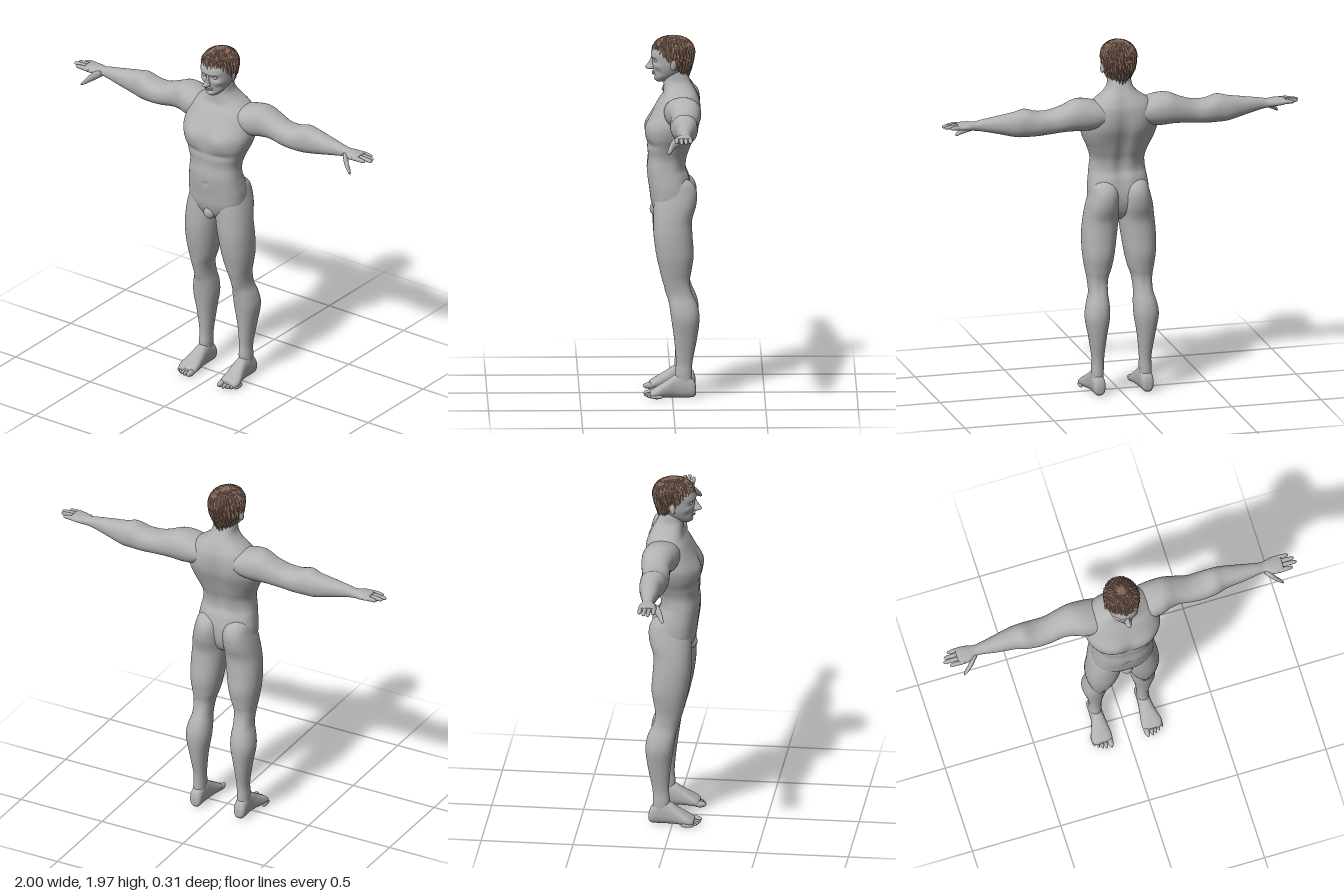
import * as THREE from 'three';

const skin = new THREE.MeshStandardMaterial({ color: 0xb2b2b2 });
skin.name = 'skin grey';
const brown = new THREE.MeshStandardMaterial({ color: 0x86695a, flatShading: true, side: THREE.DoubleSide });
brown.name = 'hair brown';

// Ways to lay (a, t, b) on the axes, where t runs along the part
const AXES = {
  y: (a, t, b) => [a, t, b],
  x: (a, t, b) => [t, b, a],
  z: (a, t, b) => [b, a, t],
};

// Smooth curve through the rows, component by component
function sampleRows(rows, steps) {
  const out = [];
  for (let i = 0; i < rows.length - 1; i++) {
    const p = [rows[Math.max(0, i - 1)], rows[i], rows[i + 1], rows[Math.min(rows.length - 1, i + 2)]];
    for (let s = 0; s < steps; s++) {
      const u = s / steps;
      out.push(p[1].map((v, k) => v + 0.5 * u * (p[2][k] - p[0][k]
        + u * (2 * p[0][k] - 5 * v + 4 * p[2][k] - p[3][k] + u * (3 * (v - p[2][k]) + p[3][k] - p[0][k])))));
    }
  }
  out.push(rows[rows.length - 1]);
  return out;
}

// Skin over superellipse sections: row = [t, aMin, aMax, bMin, bMax]
// bumps = [x, y, z, rx, ry, rz, dx, dy, dz], soft pushes that model the muscles
function loft(rows, axis, { sides = 32, steps = 5, power = 2.2, bumps = [] } = {}) {
  const rings = sampleRows(rows, steps), pos = [], index = [];
  const put = (a, t, b) => {
    const p = AXES[axis](a, t, b), q = p.slice();
    for (const m of bumps) {
      const d = [0, 1, 2].reduce((s, k) => s + ((p[k] - m[k]) / m[k + 3]) ** 2, 0);
      for (let k = 0; k < 3; k++) q[k] += m[k + 6] * Math.exp(-d);
    }
    pos.push(...q);
  };
  const bend = v => Math.sign(v) * Math.abs(v) ** (2 / power);
  for (const [t, a0, a1, b0, b1] of rings) {
    for (let j = 0; j < sides; j++) {
      const w = (j / sides) * Math.PI * 2;
      put((a0 + a1) / 2 + bend(Math.cos(w)) * (a1 - a0) / 2, t, (b0 + b1) / 2 + bend(Math.sin(w)) * (b1 - b0) / 2);
    }
  }
  const last = (rings.length - 1) * sides, cap = rings.length * sides;
  for (const r of [rings[0], rings[rings.length - 1]]) put((r[1] + r[2]) / 2, r[0], (r[3] + r[4]) / 2);
  for (let j = 0; j < sides; j++) {
    const k = (j + 1) % sides;
    for (let i = 0; i < last; i += sides) {
      index.push(i + j, i + sides + j, i + k, i + k, i + sides + j, i + sides + k);
    }
    index.push(cap, j, k, cap + 1, last + k, last + j);
  }
  const g = new THREE.BufferGeometry();
  g.setAttribute('position', new THREE.Float32BufferAttribute(pos, 3));
  g.setIndex(index);
  g.computeVertexNormals();
  return g;
}

function mirrored(geo) {
  const g = geo.clone().scale(-1, 1, 1), ix = g.index.array;
  for (let i = 0; i < ix.length; i += 3) [ix[i], ix[i + 1]] = [ix[i + 1], ix[i]];
  g.computeVertexNormals();
  return g;
}

const ball = (x, y, z, rx, ry, rz) => new THREE.SphereGeometry(1, 20, 14).scale(rx, ry, rz).translate(x, y, z);
const twin = list => list.flatMap(b => [b, [-b[0], ...b.slice(1, 6), -b[6], b[7], b[8]]]);
const even = rows => rows.map(([y, w, z0, z1]) => [y, -w, w, z0, z1]);

// One layer of hair, its lower edge ragged and its surface ridged into locks
function hairLayer(lift, grow, seed) {
  const cols = 112, steps = 14, pos = [], index = [];
  const top = 1.966 + grow;
  for (let i = 0; i <= steps; i++) {
    for (let j = 0; j < cols; j++) {
      const w = (j / cols) * Math.PI * 2, c = Math.cos(w);
      const jag = 0.5 + 0.5 * Math.sin(j * 2.4 + seed) * Math.sin(j * 0.71 + seed * 2);
      const line = c > 0 ? 1.82 + 0.075 * Math.min(1, c * 1.7) : 1.82 - 0.07 * Math.min(1, -c * 1.15);
      const edge = line + lift * (top - line) - 0.022 * jag;
      const y = edge + (top - edge) * Math.cos((i / steps) * Math.PI / 2);
      const h = (y - 1.875) / (top - 1.875);
      const f = h > 0 ? Math.sqrt(Math.max(0, 1 - h ** 2.3)) : 1 - 0.2 * h * h;
      const ridge = 0.0035 * Math.sin(j * 1.9 + seed + 1.2 * Math.sin(i * 0.7 + j * 0.3)) * Math.min(1, i / 4);
      pos.push(Math.sin(w) * ((0.095 + grow) * f + ridge), y, -0.006 + c * ((0.114 + grow) * f + ridge));
    }
  }
  for (let i = 0; i < steps; i++) {
    for (let j = 0; j < cols; j++) {
      const a = i * cols + j, b = i * cols + (j + 1) % cols;
      index.push(a, a + cols, b, b, a + cols, b + cols);
    }
  }
  const g = new THREE.BufferGeometry();
  g.setAttribute('position', new THREE.Float32BufferAttribute(pos, 3));
  g.setIndex(index);
  g.computeVertexNormals();
  return g;
}

export function createModel() {
  const model = new THREE.Group();
  model.name = 'standingMan';
  const add = (name, geo, mat = skin) => {
    const m = new THREE.Mesh(geo, mat);
    m.name = name;
    model.add(m);
  };
  const pair = (name, geo) => {
    add('left' + name, geo);
    add('right' + name, mirrored(geo));
  };

  // Torso and neck
  add('torso', loft(even([
    [0.965, 0.03, -0.03, 0.05], [1.0, 0.1, -0.075, 0.09], [1.06, 0.16, -0.1, 0.113], [1.13, 0.168, -0.105, 0.122],
    [1.2, 0.16, -0.09, 0.13], [1.25, 0.153, -0.07, 0.132], [1.31, 0.15, -0.075, 0.128], [1.37, 0.168, -0.1, 0.134],
    [1.43, 0.195, -0.123, 0.138], [1.49, 0.21, -0.143, 0.132], [1.55, 0.203, -0.152, 0.107], [1.61, 0.185, -0.152, 0.075],
    [1.65, 0.15, -0.14, 0.05], [1.685, 0.1, -0.123, 0.045], [1.72, 0.07, -0.103, 0.045], [1.76, 0.062, -0.086, 0.045],
    [1.8, 0.058, -0.075, 0.04],
  ]), 'y', { sides: 64, steps: 7, power: 2.45, bumps: [
    ...twin([
      [0.09, 1.47, 0.14, 0.075, 0.06, 0.08, 0, 0, 0.016],     // chest
      [0.1, 1.385, 0.13, 0.08, 0.018, 0.08, 0, 0, -0.008],    // fold under the chest
      [0.1, 1.53, -0.15, 0.055, 0.09, 0.06, 0, 0, -0.008],    // shoulder blade
      [0.055, 1.28, -0.08, 0.035, 0.09, 0.06, 0, 0, -0.008],  // lower back
      [0.045, 1.25, 0.13, 0.035, 0.1, 0.05, 0, 0, 0.005],     // belly
    ]),
    [0, 1.46, 0.14, 0.016, 0.07, 0.08, 0, 0, -0.012],
    [0, 1.4, -0.13, 0.025, 0.25, 0.08, 0, 0, 0.016],
    [0, 1.2, 0.13, 0.01, 0.012, 0.05, 0, 0, -0.008],
  ] }));
  add('groin', ball(0, 1.015, 0.085, 0.035, 0.04, 0.035));

  // Arms with palms
  pair('Arm', loft([
    [0.08, -0.14, 0.03, 1.53, 1.63], [0.15, -0.152, 0.045, 1.5, 1.655], [0.22, -0.155, 0.04, 1.493, 1.67],
    [0.27, -0.153, 0.022, 1.498, 1.668], [0.33, -0.146, 0.01, 1.498, 1.643], [0.4, -0.135, 0.015, 1.49, 1.62],
    [0.47, -0.135, 0.017, 1.485, 1.618], [0.54, -0.131, 0.01, 1.484, 1.637], [0.6, -0.127, -0.007, 1.49, 1.626],
    [0.7, -0.107, -0.015, 1.514, 1.609], [0.78, -0.09, -0.026, 1.532, 1.596], [0.82, -0.088, -0.025, 1.539, 1.588],
    [0.86, -0.097, -0.004, 1.543, 1.588], [0.9, -0.1, 0.0, 1.548, 1.586], [0.92, -0.096, -0.005, 1.554, 1.582],
  ], 'x', { sides: 36 }));

  // Fingers and thumbs
  [[-0.011, 0.97], [-0.037, 1.0], [-0.061, 0.99], [-0.086, 0.965]].forEach(([z, tip], i) => {
    const row = (x, r, y) => [x, z - r, z + r, y - r, y + r];
    pair('Finger' + (i + 1), loft([
      row(0.885, 0.012, 1.567), row(0.925, 0.012, 1.569), row(tip - 0.02, 0.0105, 1.568),
      row(tip - 0.006, 0.008, 1.567), row(tip, 0.002, 1.567),
    ], 'x', { sides: 12, steps: 3 }));
  });
  pair('Thumb', loft([
    [0.815, -0.055, -0.02, 1.54, 1.575], [0.845, -0.03, 0.012, 1.52, 1.57], [0.87, 0.0, 0.028, 1.505, 1.545],
    [0.89, 0.013, 0.037, 1.493, 1.52], [0.902, 0.025, 0.04, 1.488, 1.503], [0.905, 0.031, 0.035, 1.491, 1.496],
  ], 'x', { sides: 14, steps: 3 }));

  // Legs, with the buttocks as their rounded tops
  pair('Leg', loft([
    [0.07, 0.105, 0.168, -0.108, -0.025], [0.13, 0.101, 0.168, -0.107, -0.015], [0.2, 0.1, 0.166, -0.11, -0.02],
    [0.32, 0.088, 0.184, -0.133, -0.01], [0.43, 0.07, 0.204, -0.147, 0.005], [0.5, 0.069, 0.196, -0.138, 0.015],
    [0.565, 0.074, 0.178, -0.116, 0.025], [0.64, 0.068, 0.18, -0.1, 0.053], [0.7, 0.047, 0.191, -0.105, 0.068],
    [0.78, 0.03, 0.202, -0.116, 0.086], [0.88, 0.015, 0.204, -0.11, 0.1], [0.97, 0.004, 0.196, -0.108, 0.102],
    [1.05, 0.002, 0.183, -0.13, 0.1], [1.12, 0.006, 0.165, -0.134, 0.09], [1.17, 0.02, 0.15, -0.112, 0.07],
    [1.2, 0.05, 0.12, -0.07, 0.03],
  ], 'y', { sides: 40, bumps: [
    [0.125, 0.575, 0.025, 0.03, 0.04, 0.03, 0, 0, 0.008],     // knee cap
    [0.125, 0.6, -0.1, 0.03, 0.06, 0.04, 0, 0, 0.008],        // hollow of the knee
  ] }));

  // Feet and toes
  pair('Foot', loft([
    [-0.129, 0.018, 0.06, 0.118, 0.152], [-0.113, 0.003, 0.1, 0.102, 0.168], [-0.06, 0.001, 0.132, 0.1, 0.17],
    [-0.015, 0.001, 0.125, 0.097, 0.172], [0.03, 0.002, 0.095, 0.091, 0.183], [0.08, 0.001, 0.063, 0.085, 0.198],
    [0.11, 0.003, 0.044, 0.088, 0.193], [0.12, 0.01, 0.035, 0.1, 0.175],
  ], 'z', { sides: 28, power: 2.4 }));
  for (let i = 0; i < 5; i++) {
    const r = i ? 0.0115 - i * 0.0006 : 0.016;
    pair('Toe' + (i + 1), ball(i ? 0.109 + i * 0.0205 : 0.103, r + 0.003, 0.12 - i * i * 0.0022, r, r + 0.002, 0.036));
  }

  // Head
  add('head', loft(even([
    [1.718, 0.02, 0.03, 0.078], [1.728, 0.036, 0.0, 0.089], [1.75, 0.056, -0.03, 0.096], [1.78, 0.072, -0.065, 0.1],
    [1.81, 0.081, -0.09, 0.104], [1.845, 0.086, -0.103, 0.109], [1.88, 0.088, -0.108, 0.112],
    [1.92, 0.08, -0.098, 0.094], [1.945, 0.058, -0.07, 0.065], [1.956, 0.025, -0.03, 0.03],
  ]), 'y', { sides: 72, steps: 7, bumps: [
    ...twin([
      [0.034, 1.836, 0.1, 0.021, 0.014, 0.04, 0, 0, -0.014],  // eye socket
      [0.035, 1.859, 0.1, 0.028, 0.008, 0.04, 0, 0, 0.005],   // brow
      [0.058, 1.808, 0.08, 0.02, 0.016, 0.04, 0.003, 0, 0.004], // cheekbone
      [0.05, 1.775, 0.08, 0.018, 0.02, 0.04, -0.004, 0, -0.004],
    ]),
    [0, 1.752, 0.1, 0.03, 0.007, 0.04, 0, 0, -0.007],
    [0, 1.733, 0.09, 0.022, 0.012, 0.03, 0, 0, 0.005],
  ] }));
  add('nose', loft(even([
    [1.785, 0.008, 0.09, 0.125], [1.79, 0.018, 0.085, 0.139], [1.798, 0.017, 0.085, 0.145],
    [1.815, 0.011, 0.085, 0.133], [1.838, 0.008, 0.085, 0.118], [1.862, 0.01, 0.08, 0.109],
  ]), 'y', { sides: 20, steps: 4, power: 2 }));
  add('upperLip', ball(0, 1.7715, 0.099, 0.026, 0.0055, 0.01));
  add('lowerLip', ball(0, 1.7615, 0.098, 0.022, 0.0055, 0.01));
  pair('Eye', ball(0.034, 1.836, 0.084, 0.015, 0.009, 0.013));
  pair('Ear', ball(0, 0, 0, 0.008, 0.032, 0.018).rotateX(-0.2).rotateY(0.35).translate(0.09, 1.822, -0.008));

  // Hair in overlapping layers
  [[0, 0, 1], [0.28, 0.0025, 2.7], [0.55, 0.004, 4.1]].forEach(([lift, grow, seed], i) =>
    add('hairLayer' + (i + 1), hairLayer(lift, grow, seed), brown));
  for (let i = -3; i <= 3; i++) {
    const lock = new THREE.ConeGeometry(0.013, 0.07, 6).rotateX(Math.PI - 0.15);
    add('napeLock' + (i + 4), lock.translate(i * 0.016, 1.765 + Math.abs(i) * 0.006, -0.094 + i * i * 0.003), brown);
  }
  return model;
}
